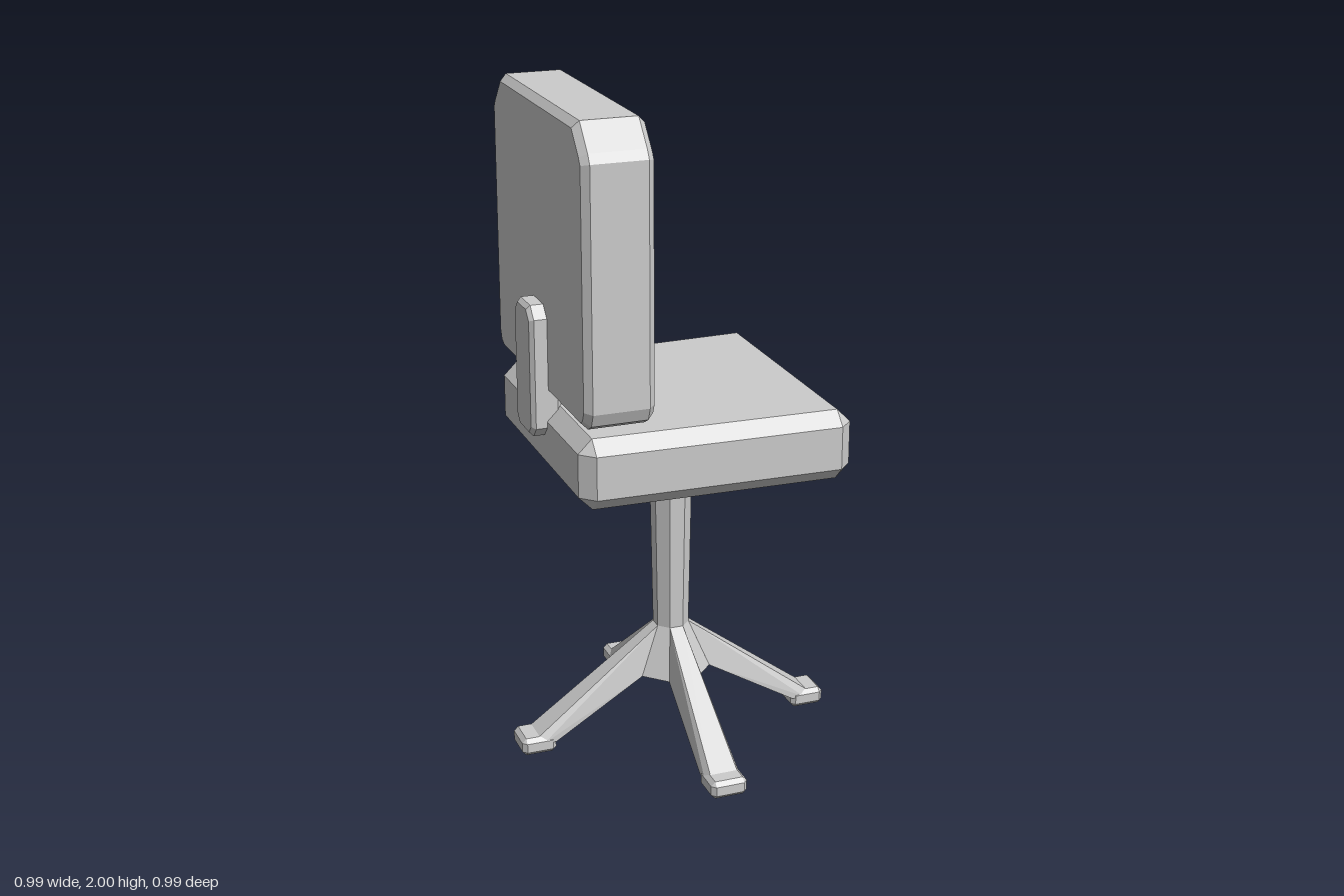
import * as THREE from 'three';
import { ConvexGeometry } from 'three/addons/geometries/ConvexGeometry.js';

const material = new THREE.MeshStandardMaterial({ color: 0xcccccc, flatShading: true });

function part(name, geometry) {
  const mesh = new THREE.Mesh(geometry, material);
  mesh.name = name;
  return mesh;
}

// Box with every edge and corner cut; the half depth may differ at the two x ends.
function chamferedBox(x0, x1, y0, y1, zBack, zFront, c) {
  const points = [];
  for (const sx of [0, 1]) for (const sy of [0, 1]) for (const sz of [-1, 1]) {
    const x = sx ? x1 : x0, y = sy ? y1 : y0, z = sz * (sx ? zFront : zBack);
    const ix = x + (sx ? -c : c), iy = y + (sy ? -c : c), iz = z - sz * c;
    points.push(
      new THREE.Vector3(x, iy, iz),
      new THREE.Vector3(ix, y, iz),
      new THREE.Vector3(ix, iy, z));
  }
  return new ConvexGeometry(points);
}

// Mirrored outline in the z/y plane, extruded along x with a single bevel.
function bevelledPanel(half, x0, x1, bevel) {
  const outline = [...half, ...half.map(([z, y]) => [-z, y]).reverse()];
  const shape = new THREE.Shape(outline.map(([z, y]) => new THREE.Vector2(z, y)));
  const geometry = new THREE.ExtrudeGeometry(shape, {
    depth: x1 - x0 - 2 * bevel, bevelEnabled: true, bevelSegments: 1,
    bevelSize: bevel, bevelThickness: bevel, bevelOffset: -bevel,
  });
  geometry.rotateY(Math.PI / 2);
  geometry.translate(x0 + bevel, 0, 0);
  return geometry;
}

// Eight-sided tapered column, measured across its flats.
function octagon(halfTop, halfBottom, y0, y1) {
  const k = 1 / Math.cos(Math.PI / 8);
  const geometry = new THREE.CylinderGeometry(halfTop * k, halfBottom * k, y1 - y0, 8);
  geometry.rotateY(Math.PI / 8);
  geometry.translate(0, (y0 + y1) / 2, 0);
  return geometry;
}

export function createModel() {
  const chair = new THREE.Group();
  chair.name = 'swivelChair';

  // Cushions
  chair.add(part('seat', chamferedBox(-0.405, 0.405, 0.91, 1.12, 0.395, 0.416, 0.041)));
  chair.add(part('backrest', bevelledPanel([
    [0.37, 1.155], [0.4, 1.172], [0.416, 1.21], [0.416, 1.9], [0.4, 1.926], [0.335, 2.0],
  ], -0.4, -0.196, 0.02)));

  // Bracket joining the seat and backrest
  chair.add(part('backBracket', bevelledPanel([
    [0.05, 1.03], [0.078, 1.06], [0.078, 1.385], [0.045, 1.42],
  ], -0.45, -0.36, 0.012)));

  // Column and flared hub
  chair.add(part('post', octagon(0.06, 0.05, 0.35, 0.93)));
  chair.add(part('hub', octagon(0.05, 0.11, 0.2, 0.35)));

  // Four legs growing out of the flat hub sides, each on a small foot
  const legPoints = [];
  for (const s of [-1, 1]) {
    for (const [x, y, z] of [
      [0.05, 0.35, 0.021], [0.11, 0.2, 0.046],
      [0.44, 0.055, 0.042], [0.39, 0.035, 0.055], [0.43, 0.035, 0.055],
    ]) legPoints.push(new THREE.Vector3(x, y, z * s));
  }
  const legGeometry = new ConvexGeometry(legPoints);
  const footGeometry = chamferedBox(0.388, 0.495, 0, 0.055, 0.056, 0.056, 0.013);
  for (let i = 0; i < 4; i++) {
    const leg = new THREE.Group();
    leg.name = 'leg' + (i + 1);
    leg.add(part('legArm', legGeometry), part('foot', footGeometry));
    leg.rotation.y = i * Math.PI / 2;
    chair.add(leg);
  }
  return chair;
}
